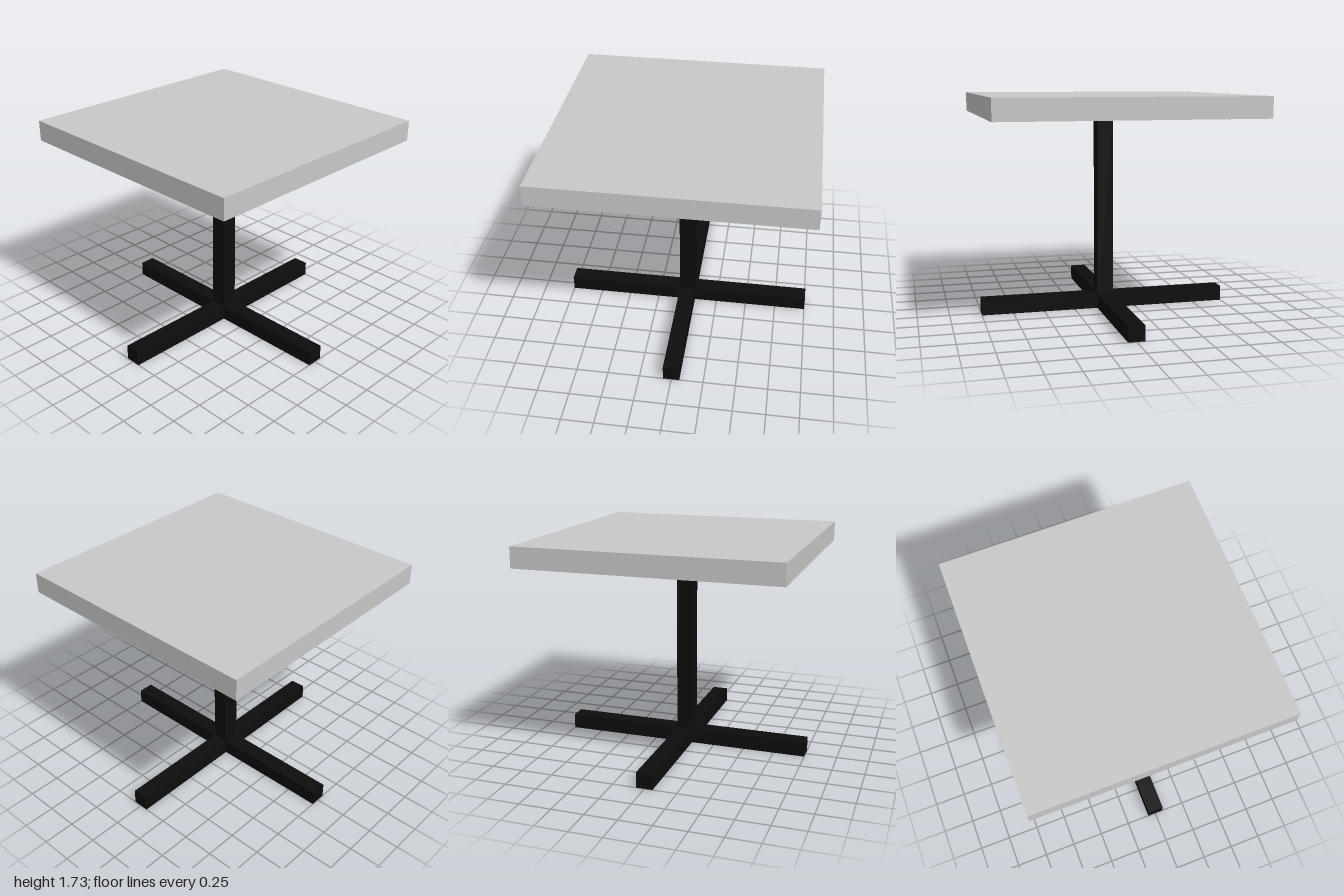
import * as THREE from 'three';

const TOP_Y = 1.73, TOP_THICK = 0.16; // table top
const BAR = 0.128, FOOT_H = 0.12;     // square post and foot bars

export function createModel() {
  const group = new THREE.Group();
  const topGrey = new THREE.MeshStandardMaterial({ color: 0xc8c8c8 });
  topGrey.name = 'topGrey';
  const baseBlack = new THREE.MeshStandardMaterial({ color: 0x0d0d0d });
  baseBlack.name = 'baseBlack';

  const addBox = (name, w, h, d, x, y, z, material) => {
    const mesh = new THREE.Mesh(new THREE.BoxGeometry(w, h, d), material);
    mesh.name = name;
    mesh.position.set(x, y, z);
    group.add(mesh);
    return mesh;
  };

  // Thick square top
  addBox('tableTop', 2, TOP_THICK, 2, 0, TOP_Y - TOP_THICK / 2, 0, topGrey);

  // Central post, from the floor to the underside of the top
  const postH = TOP_Y - TOP_THICK;
  addBox('post', BAR, postH, BAR, 0, postH / 2, 0, baseBlack);

  // Four foot bars forming a cross, each starting at a face of the post
  const length = 1 - BAR / 2, middle = (1 + BAR / 2) / 2;
  for (const [side, sign] of [['left', 1], ['right', -1]])
    addBox(side + 'Foot', length, FOOT_H, BAR, sign * middle, FOOT_H / 2, 0, baseBlack);
  for (const [side, sign] of [['front', 1], ['back', -1]])
    addBox(side + 'Foot', BAR, FOOT_H, length, 0, FOOT_H / 2, sign * middle, baseBlack);

  return group;
}
